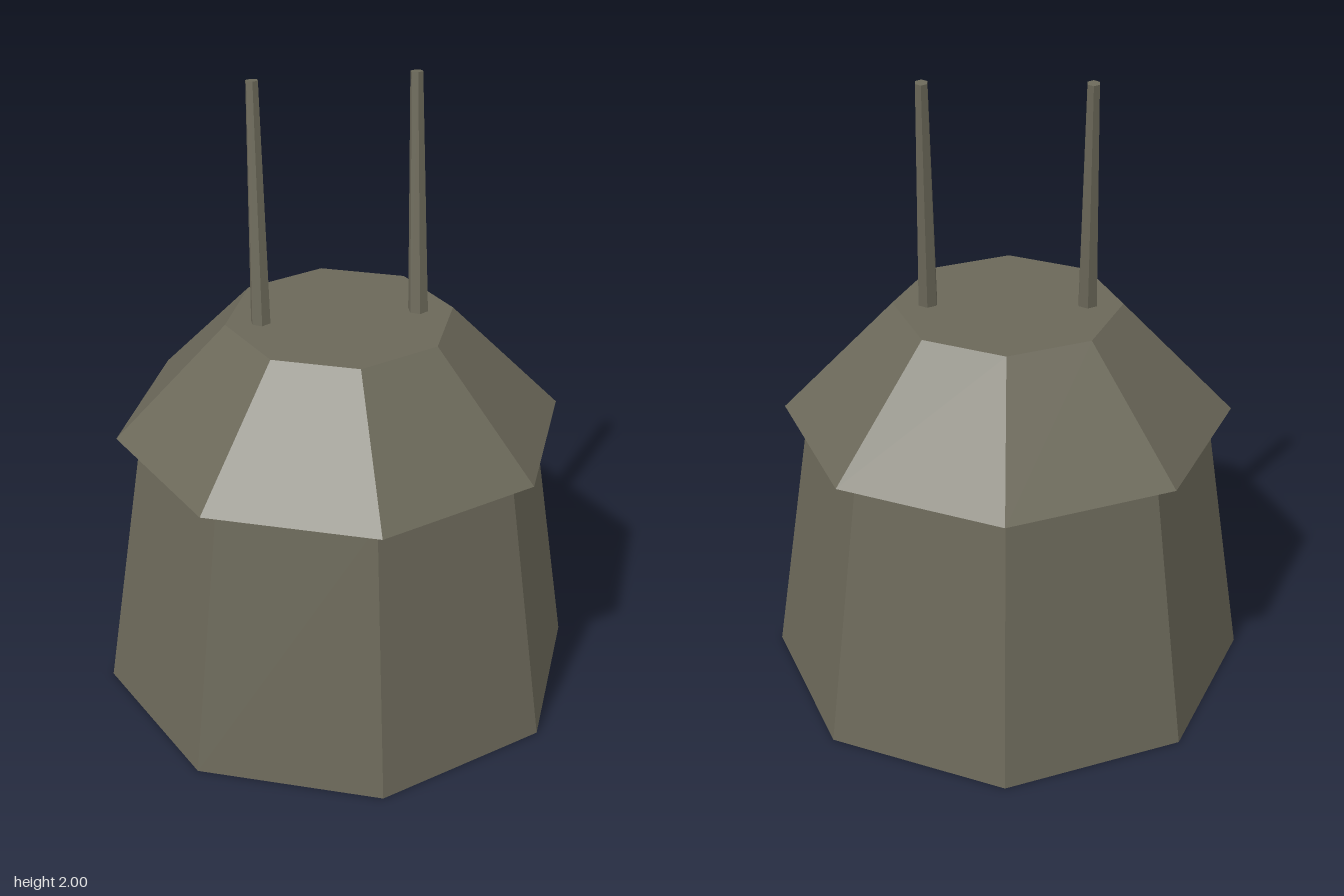
import * as THREE from 'three';

export function createModel() {
  const group = new THREE.Group();
  const olive = new THREE.MeshStandardMaterial({ color: 0x6b6859, flatShading: true });
  olive.name = 'olive metal';

  // Tapered prism with a corner facing +z, standing on height y
  const prism = (name, rTop, rBottom, height, sides, y) => {
    const geometry = new THREE.CylinderGeometry(rTop, rBottom, height, sides);
    geometry.translate(0, height / 2, 0);
    const mesh = new THREE.Mesh(geometry, olive);
    mesh.name = name;
    mesh.position.y = y;
    group.add(mesh);
    return mesh;
  };

  // Octagonal body and overhanging cap
  prism('body', 0.63, 0.765, 0.895, 8, 0);
  prism('cap', 0.355, 0.705, 0.365, 8, 0.895);

  // Pair of slim rods leaning backwards, sunk slightly into the cap
  const tilt = 0.118;
  for (const [name, side] of [['leftRod', 1], ['rightRod', -1]]) {
    const rod = prism(name, 0.02, 0.033, 0.802, 6, 1.202);
    rod.position.x = side * 0.245;
    rod.position.z = 0.004;
    rod.rotation.x = -tilt;
  }

  return group;
}
